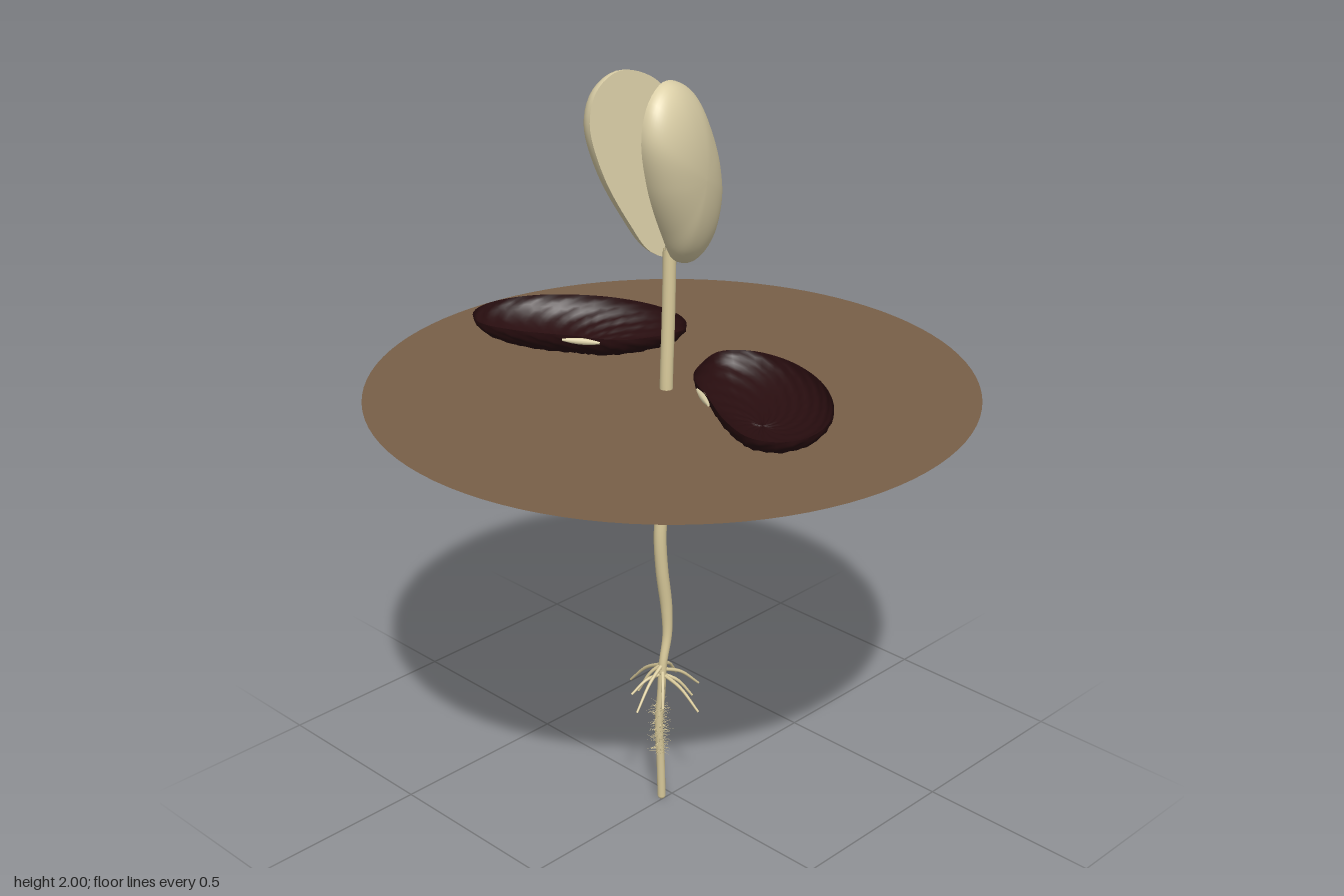
import * as THREE from 'three';
import { mergeGeometries } from 'three/addons/utils/BufferGeometryUtils.js';

const V = (x, y, z = 0) => new THREE.Vector3(x, y, z);

// Dome over a closed outline in the xy plane, bulging towards +z
function domeGeometry(outline, depth, rings, ripple = 0) {
  const around = 72;
  const rim = new THREE.CatmullRomCurve3(outline.map(([x, y]) => V(x, y)), true).getSpacedPoints(around).slice(0, around);
  const centre = rim.reduce((sum, p) => sum.add(p), V(0, 0)).divideScalar(around);
  const positions = [], index = [];
  for (let r = 0; r <= rings; r++) {
    const t = (r / rings) * Math.PI / 2;
    rim.forEach((p, u) => {
      const bump = r === 0 ? 0 : ripple * Math.sin(u * 2.3 + r * 1.9) * Math.cos(u * 0.9 - r * 2.7);
      const q = centre.clone().lerp(p, Math.cos(t) * (1 + bump * 3));
      positions.push(q.x, q.y, Math.max(0, depth * Math.sin(t) + (r < rings ? bump : 0)));
    });
  }
  for (let r = 0; r < rings; r++) {
    for (let u = 0; u < around; u++) {
      const v = (u + 1) % around;
      const a = r * around + u, b = r * around + v;
      index.push(a, b, b + around);
      if (r < rings - 1) index.push(a, b + around, a + around);
    }
  }
  const geo = new THREE.BufferGeometry();
  geo.setAttribute('position', new THREE.Float32BufferAttribute(positions, 3));
  geo.setIndex(index);
  geo.computeVertexNormals();
  return geo;
}

// Tube whose radius follows radiusAt(0..1)
function taperedTube(points, segments, sides, radiusAt) {
  const curve = new THREE.CatmullRomCurve3(points);
  const geo = new THREE.TubeGeometry(curve, segments, 1, sides);
  const pos = geo.attributes.position, p = V(0, 0);
  for (let i = 0; i < pos.count; i++) {
    const t = Math.floor(i / (sides + 1)) / segments;
    const c = curve.getPointAt(t);
    p.fromBufferAttribute(pos, i).sub(c).multiplyScalar(radiusAt(t)).add(c);
    pos.setXYZ(i, p.x, p.y, p.z);
  }
  return geo;
}

export function createModel() {
  const root = new THREE.Group();
  root.name = 'seedling';
  const cream = new THREE.MeshStandardMaterial({ color: 0xdcd0a8, side: THREE.DoubleSide });
  cream.name = 'cream';
  const stemCream = new THREE.MeshStandardMaterial({ color: 0xd8c99a, side: THREE.DoubleSide });
  stemCream.name = 'stem cream';
  const darkRed = new THREE.MeshStandardMaterial({ color: 0x280d0f, side: THREE.DoubleSide });
  darkRed.name = 'dark red brown';
  const brown = new THREE.MeshStandardMaterial({ color: 0x785f48, side: THREE.DoubleSide });
  brown.name = 'soil brown';
  const add = (name, geo, mat, parent = root) => {
    const mesh = new THREE.Mesh(geo, mat);
    mesh.name = name;
    parent.add(mesh);
    return mesh;
  };

  // Soil surface
  const soil = add('soilSurface', new THREE.CircleGeometry(0.762, 96).rotateX(-Math.PI / 2), brown);
  soil.position.y = 1.2;

  // Two seed leaves, leaning apart towards the top
  const leafOutline = [[-0.1, 2.0], [-0.16, 1.965], [-0.185, 1.89], [-0.157, 1.765], [-0.09, 1.63], [-0.035, 1.55],
    [0.03, 1.525], [0.095, 1.555], [0.13, 1.65], [0.115, 1.755], [0.065, 1.87], [-0.01, 1.97]];
  const lean = (geo) => {
    const pos = geo.attributes.position;
    for (let i = 0; i < pos.count; i++) {
      const x = pos.getX(i), y = pos.getY(i);
      pos.setZ(i, pos.getZ(i) + Math.max(0.002, 0.004 - 0.2245 * (x - 0.13) + 0.041 * (y - 1.65)));
    }
    geo.computeVertexNormals();
    return geo;
  };
  for (const side of [1, -1]) {
    const leaf = new THREE.Group();
    leaf.name = side > 0 ? 'frontSeedLeaf' : 'backSeedLeaf';
    add('seedLeafOuter', lean(domeGeometry(leafOutline, 0.096, 20)), cream, leaf);
    add('seedLeafInner', lean(domeGeometry(leafOutline, 0, 4)), cream, leaf);
    leaf.scale.z = side;
    root.add(leaf);
  }

  // Young shoot between the seed leaves
  add('shootStalk', taperedTube([V(-0.012, 1.54), V(-0.005, 1.6), V(0, 1.66), V(-0.015, 1.685)], 16, 8,
    (t) => 0.011 - 0.005 * t), cream);
  for (const side of [1, -1]) {
    const bud = add('shootLeaf', new THREE.SphereGeometry(1, 12, 8), cream);
    bud.scale.set(0.028, 0.012, 0.006);
    bud.position.set(-0.02, 1.683, side * 0.007);
    bud.rotation.set(0, side * 0.3, 0.35);
  }

  // Stem running down into the main root
  const path = [[-0.008, 1.56], [-0.012, 1.4], [-0.02, 1.2], [-0.017, 1.05], [-0.032, 0.92], [-0.043, 0.8], [-0.037, 0.7],
    [-0.02, 0.58], [-0.018, 0.5], [-0.034, 0.42], [-0.04, 0.34], [-0.045, 0.24], [-0.04, 0.14], [-0.036, 0.01]];
  add('stemAndRoot', taperedTube(path.map(([x, y]) => V(x, y, y < 0.3 ? -0.004 : 0)), 120, 16,
    (t) => THREE.MathUtils.lerp(0.0165, 0.011, THREE.MathUtils.smoothstep(t, 0.58, 0.74))), stemCream);
  add('rootTip', new THREE.SphereGeometry(0.011, 16, 10), stemCream).position.set(-0.036, 0.011, -0.004);

  // Side roots arching outwards and down
  const sideRoots = [[-0.15, 0.33, 0.02], [0.07, 0.33, 0.03], [-0.03, 0.325, 0.125], [-0.02, 0.31, -0.135],
    [-0.085, 0.325, 0.05], [0.025, 0.32, 0.05], [-0.075, 0.335, -0.05], [0.03, 0.315, -0.06],
    [-0.125, 0.355, -0.025], [0.045, 0.35, -0.03]];
  sideRoots.forEach(([x, y, z], i) => {
    const start = V(-0.035, 0.42 - (i % 3) * 0.015, 0);
    const end = V(x, y, z);
    const middle = start.clone().lerp(end, 0.5).add(V(0, 0.014));
    add('sideRoot', taperedTube([start, middle, end], 12, 7, (t) => 0.0055 - 0.0025 * t), stemCream);
  });

  // Fine root hairs
  const hairs = [];
  for (let i = 0; i < 170; i++) {
    const angle = i * 2.39996, length = 0.02 + 0.012 * Math.sin(i * 5.7) ** 2;
    const hair = new THREE.ConeGeometry(0.0011, length, 4).translate(0, length / 2 + 0.007, 0);
    hair.rotateZ(-Math.PI / 2 + 0.5 * Math.sin(i * 3.1)).rotateY(angle);
    hairs.push(hair.translate(-0.043, 0.155 + 0.15 * i / 170, -0.003));
  }
  add('rootHairs', mergeGeometries(hairs), stemCream);

  // Two empty seed coat halves lying open on the soil
  const coatOutline = [[-0.09, -0.578], [-0.165, -0.555], [-0.2, -0.49], [-0.172, -0.385], [-0.1, -0.26], [-0.035, -0.15],
    [0.04, -0.105], [0.13, -0.085], [0.185, -0.14], [0.2, -0.25], [0.15, -0.4], [0.03, -0.535]];
  for (const side of [-1, 1]) {
    const coat = new THREE.Group();
    coat.name = side < 0 ? 'backSeedCoat' : 'frontSeedCoat';
    add('seedCoatShell', domeGeometry(coatOutline, 0.084, 18, 0.0025).rotateX(Math.PI / 2), darkRed, coat);
    // Pale scar along the hollow edge
    add('seedScar', taperedTube([V(-0.113, -0.012, -0.275), V(-0.085, -0.012, -0.23), V(-0.063, -0.012, -0.19)], 10, 8,
      (t) => 0.003 + 0.006 * Math.sin(t * Math.PI)), cream, coat);
    coat.position.set(side < 0 ? 0 : -0.04, 1.29, side < 0 ? 0 : -0.005);
    coat.scale.z = -side;
    root.add(coat);
  }
  return root;
}
